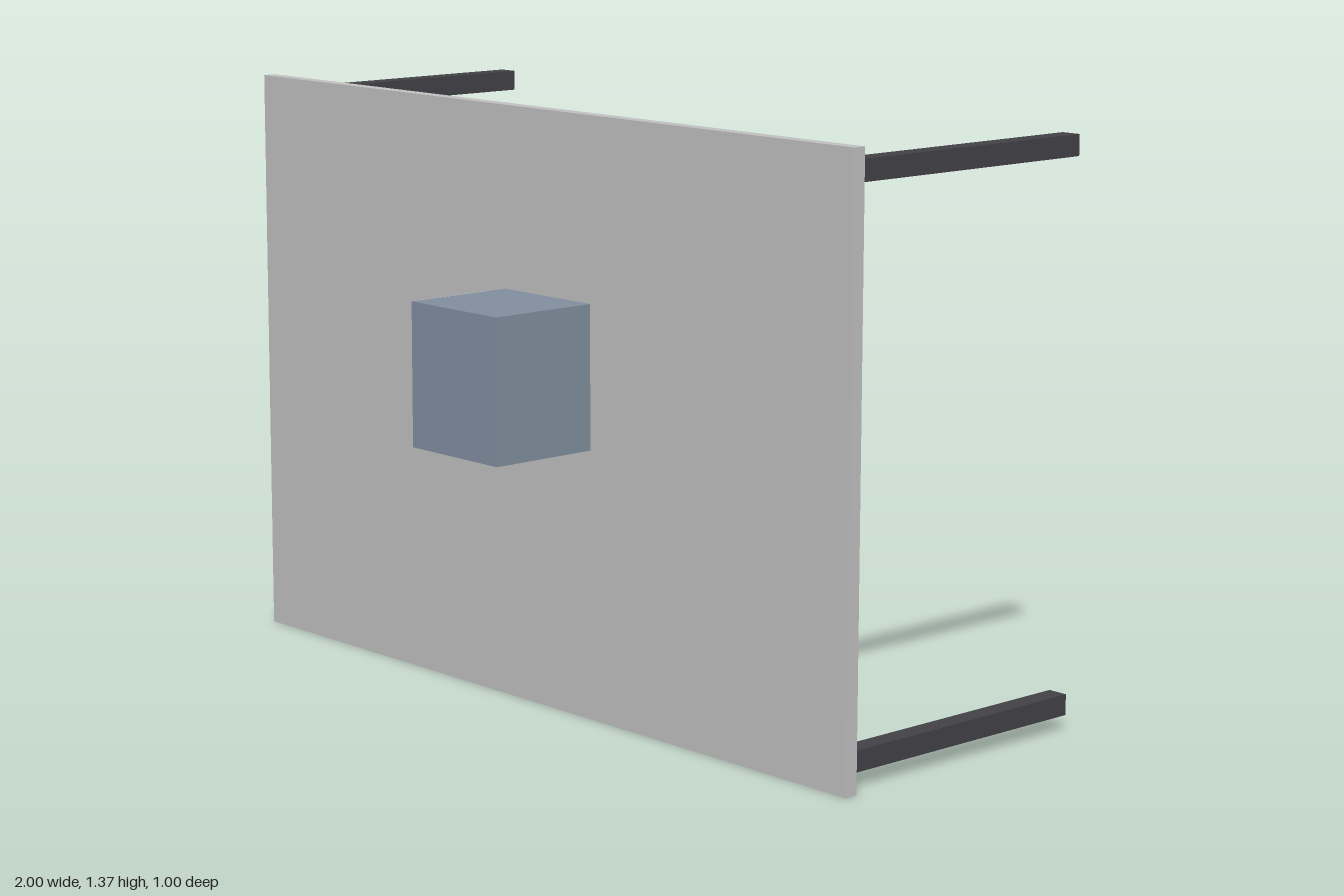
import * as THREE from 'three';

const mat = (name, color) => {
  const m = new THREE.MeshStandardMaterial({ color });
  m.name = name;
  return m;
};

export function createModel() {
  const model = new THREE.Group();
  const panelGrey = mat('panelGrey', 0xbfbfbf);
  const steelBlue = mat('steelBlue', 0x808d9e);
  const charcoal = mat('charcoal', 0x424246);
  const paleGrey = mat('paleGrey', 0xd2d2d2);

  // Box given by its lower and upper limits
  const box = (name, material, [x0, y0, z0], [x1, y1, z1]) => {
    const mesh = new THREE.Mesh(new THREE.BoxGeometry(x1 - x0, y1 - y0, z1 - z0), material);
    mesh.position.set((x0 + x1) / 2, (y0 + y1) / 2, (z0 + z1) / 2);
    mesh.name = name;
    model.add(mesh);
  };

  // Upright board with four posts reaching backwards
  box('board', panelGrey, [-1, 0, 0.197], [1, 1.367, 0.229]);
  for (const x of [-0.944, 0.944])
    for (const y of [0.06, 1.312])
      box('leg', charcoal, [x - 0.024, y - 0.024, -0.5], [x + 0.024, y + 0.024, 0.197]);

  // Cabinet passing through the board, with a door plate on its right side
  box('cabinet', steelBlue, [-0.096, 0.619, 0.086], [0.195, 0.949, 0.5]);
  box('door', paleGrey, [-0.112, 0.622, 0.271], [-0.096, 0.946, 0.475]);

  // Bar handle on two stems
  const handle = new THREE.Group();
  handle.name = 'handle';
  const rod = (name, radius, length, x, z) => {
    const mesh = new THREE.Mesh(new THREE.CylinderGeometry(radius, radius, length, 16), steelBlue);
    mesh.name = name;
    mesh.position.set(x, 0.785, z);
    handle.add(mesh);
    return mesh;
  };
  rod('handleBar', 0.008, 0.106, -0.158, 0.372).rotation.x = Math.PI / 2;
  for (const z of [0.334, 0.41]) rod('handleStem', 0.006, 0.046, -0.135, z).rotation.z = Math.PI / 2;
  model.add(handle);

  return model;
}
